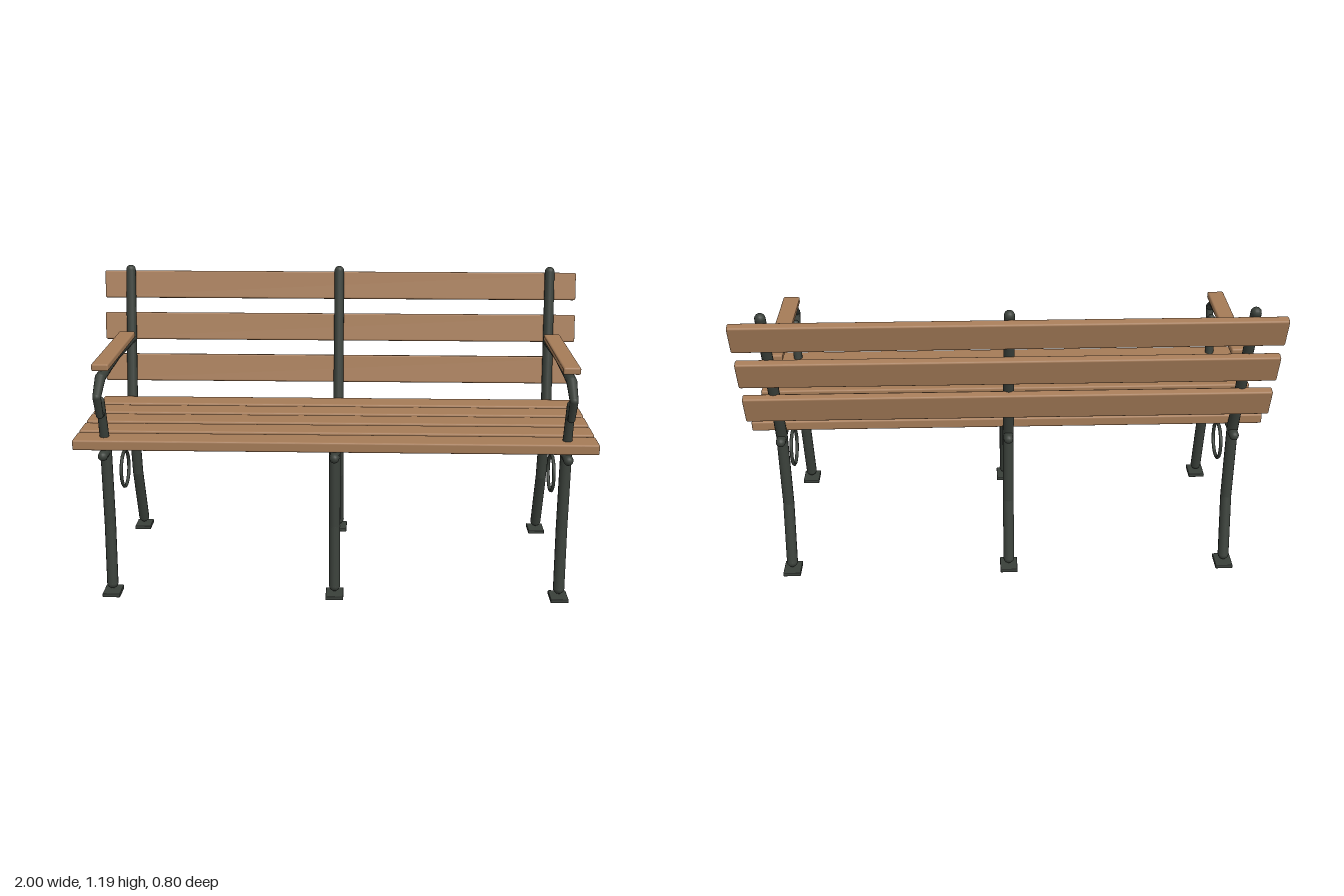
import * as THREE from 'three';
import { mergeGeometries } from 'three/addons/utils/BufferGeometryUtils.js';
import { RoundedBoxGeometry } from 'three/addons/geometries/RoundedBoxGeometry.js';

const wood = new THREE.MeshStandardMaterial({ color: 0xa67c58 });
const metal = new THREE.MeshStandardMaterial({ color: 0x3a403a });

// Round bar through [z, y, radius] points, with rounded joints and ends
function bar(name, points) {
  const parts = [];
  const up = new THREE.Vector3(0, 1, 0);
  points.forEach(([z, y, r], i) => {
    parts.push(new THREE.SphereGeometry(r, 14, 10).translate(0, y, z));
    if (i === 0) return;
    const [z0, y0, r0] = points[i - 1];
    const dir = new THREE.Vector3(0, y - y0, z - z0);
    const length = dir.length();
    const turn = new THREE.Quaternion().setFromUnitVectors(up, dir.normalize());
    parts.push(new THREE.CylinderGeometry(r, r0, length, 14, 1, true)
      .applyQuaternion(turn)
      .translate(0, (y + y0) / 2, (z + z0) / 2));
  });
  const mesh = new THREE.Mesh(mergeGeometries(parts), metal);
  mesh.name = name;
  return mesh;
}

// Board with softened edges
function board(name, w, h, d, y, z, material = wood, radius = 0.007) {
  const mesh = new THREE.Mesh(new RoundedBoxGeometry(w, h, d, 2, radius), material);
  mesh.name = name;
  mesh.position.set(0, y, z);
  return mesh;
}

// One cross frame: legs, feet, backrest upright and seat rail
function createFrame() {
  const frame = new THREE.Group();
  frame.add(
    bar('backLegAndUpright', [[-0.315, 0.045, 0.022], [-0.245, 0.29, 0.022], [-0.219, 0.595, 0.022], [-0.349, 1.171, 0.02]]),
    bar('frontLeg', [[0.343, 0.045, 0.022], [0.314, 0.29, 0.022], [0.3, 0.593, 0.022]]),
    bar('seatRail', [[0.357, 0.588, 0.019], [0.18, 0.592, 0.018], [0.05, 0.594, 0.018], [-0.08, 0.592, 0.018], [-0.257, 0.588, 0.019]]),
    board('frontFoot', 0.07, 0.016, 0.082, 0.008, 0.343, metal, 0.003),
    board('backFoot', 0.07, 0.016, 0.082, 0.008, -0.315, metal, 0.003),
  );
  return frame;
}

// Armrest with its curled front, short post, wooden pad and ring
function createArm() {
  const arm = new THREE.Group();
  const ring = new THREE.Mesh(new THREE.TorusGeometry(0.075, 0.007, 10, 18), metal);
  ring.name = 'ring';
  ring.rotation.y = Math.PI / 2;
  ring.position.y = 0.401;
  arm.add(
    bar('armBar', [[-0.272, 0.888, 0.02], [-0.12, 0.893, 0.019], [0.02, 0.897, 0.018], [0.16, 0.893, 0.019], [0.312, 0.887, 0.02], [0.386, 0.833, 0.016], [0.361, 0.754, 0.014], [0.314, 0.747, 0.013]]),
    bar('armPost', [[0.3, 0.593, 0.019], [0.335, 0.803, 0.016]]),
    board('armPad', 0.066, 0.028, 0.513, 0.926, 0.057),
    ring,
  );
  return arm;
}

export function createModel() {
  const bench = new THREE.Group();
  bench.name = 'bench';

  // Three frames; only the outer two carry arms
  for (const x of [-0.885, 0, 0.885]) {
    const frame = createFrame();
    frame.name = x === 0 ? 'middleFrame' : x > 0 ? 'leftFrame' : 'rightFrame';
    frame.position.x = x;
    bench.add(frame);
    if (x === 0) continue;
    const arm = createArm();
    arm.name = x > 0 ? 'leftArm' : 'rightArm';
    arm.position.x = x;
    bench.add(arm);
  }

  // Seat slats
  for (let i = 0; i < 5; i++) {
    bench.add(board('seatSlat', 2, 0.041, 0.098, 0.632, 0.313 - i * 0.1185));
  }

  // Backrest slats, leaning with the uprights
  for (let i = 0; i < 3; i++) {
    const slat = board('backSlat', 2, 0.115, 0.034, 0.761 + i * 0.1715, -0.284 - i * 0.043);
    slat.rotation.x = -0.23;
    bench.add(slat);
  }
  return bench;
}
